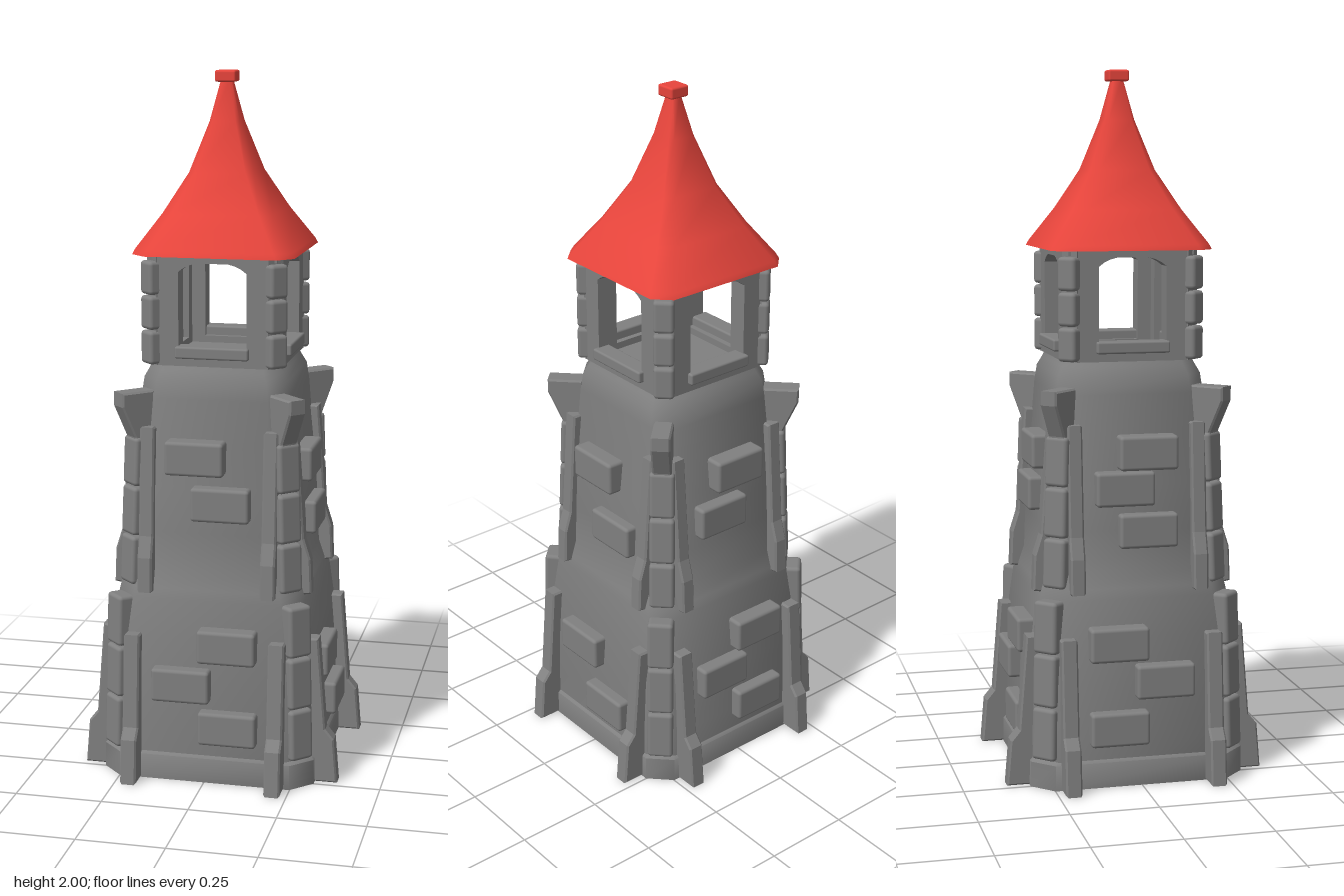
import * as THREE from 'three';
import { toCreasedNormals } from 'three/addons/utils/BufferGeometryUtils.js';
import { RoundedBoxGeometry } from 'three/addons/geometries/RoundedBoxGeometry.js';

const stone = new THREE.MeshStandardMaterial({ color: 0x808080, side: THREE.DoubleSide });
const red = new THREE.MeshStandardMaterial({ color: 0xe8453c, side: THREE.DoubleSide });

function add(parent, name, geometry, material = stone) {
  const mesh = new THREE.Mesh(geometry, material);
  mesh.name = name;
  parent.add(mesh);
  return mesh;
}

// Square tube with cut corners; each section is [y, half width, corner cut]
function loft(sections) {
  const pos = [], index = [];
  for (const [y, h, c] of sections) {
    const k = h - c;
    for (const [x, z] of [[k, h], [h, k], [h, -k], [k, -h], [-k, -h], [-h, -k], [-h, k], [-k, h]]) pos.push(x, y, z);
  }
  for (let s = 0; s < sections.length - 1; s++) {
    for (let i = 0; i < 8; i++) {
      const a = s * 8 + i, b = s * 8 + (i + 1) % 8;
      index.push(a, b, b + 8, a, b + 8, a + 8);
    }
  }
  const g = new THREE.BufferGeometry();
  g.setAttribute('position', new THREE.Float32BufferAttribute(pos, 3));
  g.setIndex(index);
  return toCreasedNormals(g, 0.87);
}

// Upright slab whose side outline is given as [distance outward, y]
function slab(points, width) {
  const b = 0.005;
  const shape = new THREE.Shape(points.map(p => new THREE.Vector2(...p)));
  const g = new THREE.ExtrudeGeometry(shape, {
    depth: width - 2 * b, bevelSize: b, bevelThickness: b, bevelOffset: -b, bevelSegments: 1,
  });
  return g.translate(0, 0, b - width / 2).rotateY(-Math.PI / 2);
}

const bodyProfile = [
  [0, 0.3, 0.06], [0.15, 0.3, 0.06], [0.3, 0.294, 0.06], [0.42, 0.284, 0.058], [0.53, 0.27, 0.055],
  [0.56, 0.264, 0.055], [0.61, 0.247, 0.05], [0.72, 0.243, 0.05], [0.85, 0.235, 0.05], [1.0, 0.219, 0.05],
  [1.1, 0.212, 0.05], [1.15, 0.205, 0.048], [1.175, 0.192, 0.045], [1.2, 0.18, 0.04], [1.2, 0.001, 0.0005],
];

// Raised bricks [sideways, y] for the front, right, back and left walls
const bricks = [
  [[-0.037, 0.94], [0.037, 0.81], [0.066, 0.41], [-0.066, 0.29], [0.07, 0.17]],
  [[-0.037, 0.905], [0.04, 0.73], [-0.05, 0.33], [0.07, 0.17]],
  [[0.027, 0.93], [-0.032, 0.8], [0.066, 0.41], [-0.066, 0.3], [0.066, 0.17]],
  [[0.03, 0.94], [-0.037, 0.84], [0.03, 0.72], [-0.066, 0.41], [0.066, 0.3], [-0.066, 0.17]],
];

const lowerButtress = slab([[0.27, 0], [0.373, 0], [0.362, 0.13], [0.337, 0.16], [0.315, 0.43], [0.265, 0.43]], 0.046);
const upperButtress = slab([[0.225, 0.54], [0.288, 0.55], [0.284, 0.65], [0.265, 0.71], [0.242, 1.02], [0.195, 1.02]], 0.042);
const corbel = slab([[0.26, 0.9], [0.314, 0.9], [0.322, 0.99], [0.362, 1.08], [0.362, 1.12], [0.26, 1.12]], 0.055);
const brick = new RoundedBoxGeometry(0.168, 0.097, 0.065, 2, 0.01);

// One belfry wall with its arched opening
function belfryWall() {
  const s = new THREE.Shape();
  s.moveTo(-0.16, 1.19).lineTo(0.16, 1.19).lineTo(0.16, 1.498).lineTo(-0.16, 1.498).closePath();
  const hole = new THREE.Path();
  hole.moveTo(-0.097, 1.22).lineTo(-0.097, 1.455).quadraticCurveTo(-0.075, 1.475, -0.045, 1.48)
    .lineTo(0.045, 1.48).quadraticCurveTo(0.075, 1.475, 0.097, 1.455).lineTo(0.097, 1.22).closePath();
  s.holes.push(hole);
  return new THREE.ExtrudeGeometry(s, { depth: 0.055, bevelEnabled: false, curveSegments: 3 }).translate(0, 0, 0.137);
}

function buildSide(i) {
  const side = new THREE.Group();
  side.name = 'side';
  side.rotation.y = i * Math.PI / 2;
  for (const [x, y] of bricks[i]) {
    const reach = y < 0.5 ? 0.338 - 0.03 * y : 0.273;
    add(side, 'wallBrick', brick).position.set(x, y, reach - 0.0325);
  }
  for (const s of [-1, 1]) {
    add(side, 'lowerButtress', lowerButtress).position.x = s * 0.209;
    add(side, 'upperButtress', upperButtress).position.x = s * 0.177;
  }
  add(side, 'belfryWall', belfryWall());
  add(side, 'windowSill', new RoundedBoxGeometry(0.21, 0.034, 0.055, 2, 0.006)).position.set(0, 1.23, 0.181);
  return side;
}

// Stacks of corner stones: bottom, top, outer reach at bottom and top, width
const stacks = [
  [0.08, 0.535, 0.4, 0.385, 0.075],
  [0.56, 0.99, 0.345, 0.325, 0.072],
  [1.19, 1.485, 0.272, 0.272, 0.058],
];

function buildCorner(i) {
  const corner = new THREE.Group();
  corner.name = 'corner';
  corner.rotation.y = (i + 0.5) * Math.PI / 2;
  for (const [y0, y1, r0, r1, w] of stacks) {
    const h = (y1 - y0) / 3;
    for (let k = 0; k < 3; k++) {
      const m = add(corner, 'cornerStone', new RoundedBoxGeometry(w, h - 0.004, 0.06, 2, 0.011));
      m.position.set(0, y0 + h * (k + 0.5), r0 + (r1 - r0) * (k + 0.5) / 3 - 0.03);
      m.rotation.x = -Math.atan((r0 - r1) / (y1 - y0));
    }
  }
  add(corner, 'corbel', corbel);
  add(corner, 'belfryPost', new THREE.BoxGeometry(0.05, 0.308, 0.05).translate(0, 1.344, 0.225));
  return corner;
}

export function createModel() {
  const tower = new THREE.Group();
  tower.name = 'tower';
  add(tower, 'towerBody', loft(bodyProfile));
  add(tower, 'plinth', loft([[0, 0.29, 0.055], [0, 0.309, 0.06], [0.072, 0.308, 0.06], [0.082, 0.297, 0.058]]));
  for (let i = 0; i < 4; i++) tower.add(buildSide(i), buildCorner(i));
  add(tower, 'belfryCeiling', new THREE.BoxGeometry(0.36, 0.012, 0.36)).position.y = 1.491;

  // Flared roof and its cap
  add(tower, 'roof', loft([
    [1.5, 0.001, 0.0005], [1.5, 0.23, 0.045], [1.515, 0.223, 0.044], [1.61, 0.157, 0.032], [1.72, 0.093, 0.02],
    [1.86, 0.043, 0.01], [1.975, 0.015, 0.004],
  ]), red);
  add(tower, 'roofCap', new RoundedBoxGeometry(0.06, 0.032, 0.06, 2, 0.006), red).position.y = 1.984;
  return tower;
}
